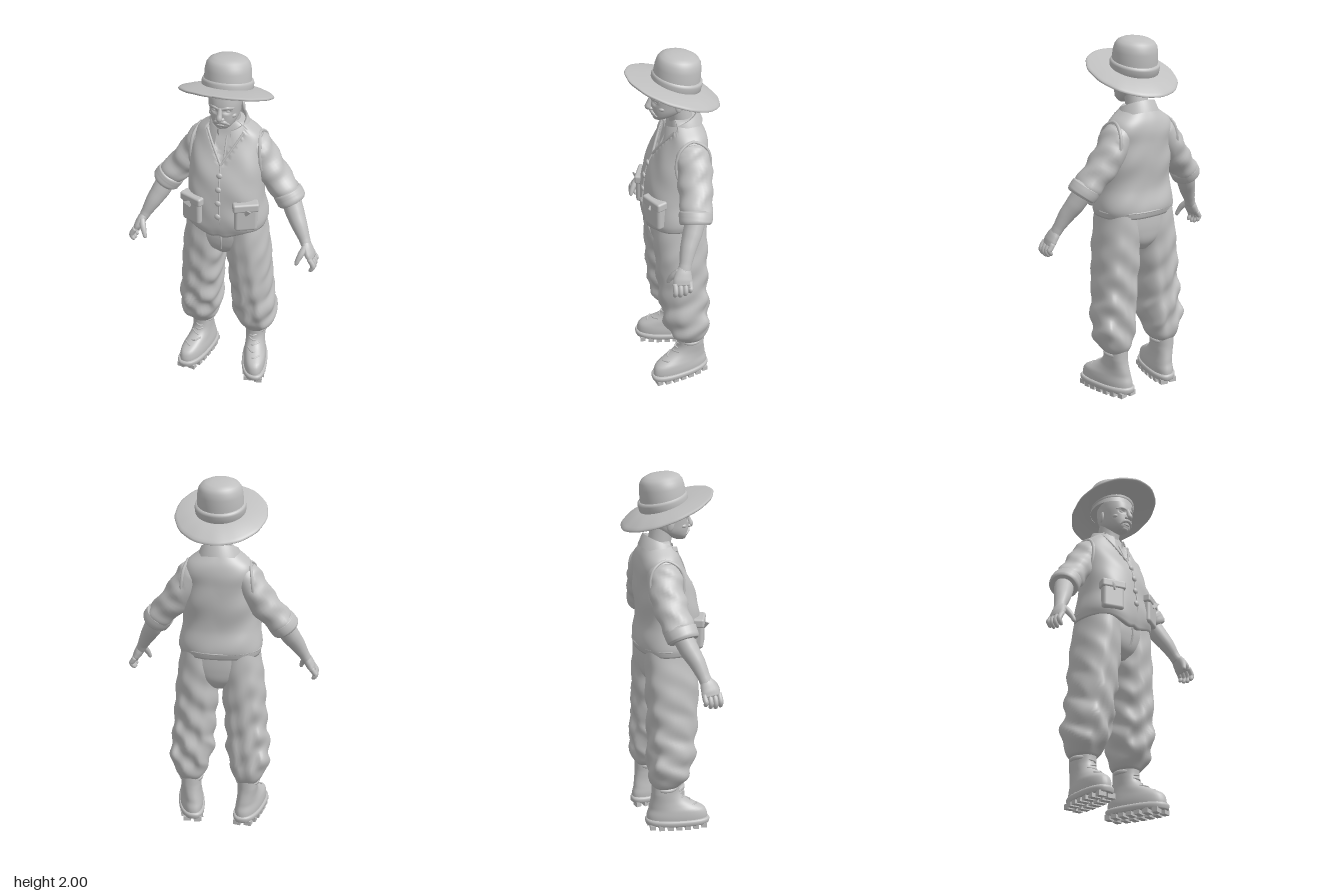
import * as THREE from 'three';
import { mergeVertices } from 'three/addons/utils/BufferGeometryUtils.js';
import { RoundedBoxGeometry } from 'three/addons/geometries/RoundedBoxGeometry.js';

const clay = new THREE.MeshStandardMaterial({ color: 0xc0c0c0, side: THREE.DoubleSide });
clay.name = 'clay grey';
const V3 = (a) => new THREE.Vector3(...a);

function part(parent, name, geometry, pos = [0, 0, 0], rot = [0, 0, 0], scale = [1, 1, 1]) {
  const g = geometry.index ? geometry : mergeVertices(geometry);
  g.applyMatrix4(new THREE.Matrix4().compose(V3(pos),
    new THREE.Quaternion().setFromEuler(new THREE.Euler(...rot)), V3(scale)));
  const mesh = new THREE.Mesh(g, clay);
  mesh.name = name;
  parent.add(mesh);
  return mesh;
}

// Skin a list of rings; the ends close on their centres unless open
function skin(rings, closed = true) {
  const n = rings[0].length, pos = [], idx = [];
  if (closed) {
    const centre = (r) => r.reduce((s, p) => s.add(p), new THREE.Vector3()).divideScalar(n);
    const a = centre(rings[0]), b = centre(rings[rings.length - 1]);
    rings = [rings[0].map(() => a), ...rings, rings[0].map(() => b)];
  }
  rings.forEach((r) => r.forEach((p) => pos.push(p.x, p.y, p.z)));
  for (let i = 0; i < rings.length - 1; i++)
    for (let j = 0; j < (closed ? n : n - 1); j++) {
      const k = (j + 1) % n, a = i * n + j, b = i * n + k, c = b + n, d = a + n;
      idx.push(a, b, d, b, c, d);
    }
  const g = new THREE.BufferGeometry();
  g.setAttribute('position', new THREE.Float32BufferAttribute(pos, 3));
  g.setIndex(idx);
  g.computeVertexNormals();
  return g;
}

// Rows [y, cx, cz, rx, rz] interpolated smoothly
function rowSampler(rows) {
  const f = new THREE.CubicInterpolant(new Float32Array(rows.map((r) => r[0])),
    new Float32Array(rows.flatMap((r) => r.slice(1))), 4);
  return (y) => Array.from(f.evaluate(y));
}

// Stack of level superellipse rings, shaped afterwards by a rule
function stack(rows, { n = 2.3, seg = 40, steps = 30, rule } = {}) {
  const at = rowSampler(rows), y0 = rows[0][0], y1 = rows[rows.length - 1][0], rings = [];
  const pw = (v) => Math.sign(v) * Math.abs(v) ** (2 / n);
  for (let i = 0; i <= steps; i++) {
    const y = y0 + (y1 - y0) * i / steps, [cx, cz, rx, rz] = at(y), ring = [];
    for (let j = 0; j < seg; j++) {
      const a = j / seg * Math.PI * 2;
      const p = new THREE.Vector3(cx + rx * pw(Math.cos(a)), y, cz - rz * pw(Math.sin(a)));
      if (rule) rule(p);
      ring.push(p);
    }
    rings.push(ring);
  }
  return skin(rings);
}

// Limb along a path; each point is [x, y, z, radius across, radius along z]
function limb(pts, { seg = 16, steps = 14, rule } = {}) {
  const curve = new THREE.CatmullRomCurve3(pts.map((p) => V3(p.slice(0, 3))));
  const rings = [], Z = new THREE.Vector3(0, 0, 1);
  for (let i = 0; i <= steps; i++) {
    const t = i / steps, f = t * (pts.length - 1), k = Math.min(Math.floor(f), pts.length - 2);
    const r = [3, 4].map((c) => THREE.MathUtils.lerp(pts[k][c] ?? pts[k][3], pts[k + 1][c] ?? pts[k + 1][3], f - k));
    const c = curve.getPoint(t), T = curve.getTangent(t);
    const U = T.clone().cross(Z).normalize(), V = T.clone().cross(U), ring = [];
    for (let j = 0; j < seg; j++) {
      const a = j / seg * Math.PI * 2;
      const p = c.clone().addScaledVector(U, r[0] * Math.cos(a)).addScaledVector(V, r[1] * Math.sin(a));
      if (rule) rule(p);
      ring.push(p);
    }
    rings.push(ring);
  }
  return skin(rings);
}

const tube = (pts, r, closed = false) =>
  new THREE.TubeGeometry(new THREE.CatmullRomCurve3(pts.map(V3), closed), 40, r, 6, closed);
const ball = () => new THREE.SphereGeometry(1, 18, 12);

// Mirrored copy with the corner order turned round
function mirrored(group, name) {
  const out = new THREE.Group();
  out.name = name;
  group.children.forEach((m) => {
    const g = m.geometry.clone().scale(-1, 1, 1), ix = g.index.array;
    for (let i = 0; i < ix.length; i += 3) [ix[i], ix[i + 1]] = [ix[i + 1], ix[i]];
    part(out, m.name, g);
  });
  return out;
}

const VEST = [[1.04, 0, -.01, .222, .166], [1.08, 0, -.008, .23, .178], [1.2, 0, 0, .21, .166],
  [1.35, 0, -.016, .204, .161], [1.45, 0, -.038, .2, .138], [1.52, 0, -.054, .193, .122],
  [1.57, 0, -.06, .17, .104], [1.61, 0, -.055, .12, .088], [1.645, 0, -.05, .075, .07]];
const vestRow = rowSampler(VEST);
const onVest = (x, y, lift = 0) => {
  const [, cz, rx, rz] = vestRow(y);
  return [x, y, cz + rz * Math.max(0, 1 - Math.abs(x / rx) ** 2.5) ** .4 + lift];
};

function addTorso(root) {
  const g = new THREE.Group();
  g.name = 'torso';
  root.add(g);
  // Vest with pointed front hem and sunken shirt opening
  part(g, 'vest', stack(VEST, { n: 2.5, seg: 88, steps: 56, rule: (p) => {
    if (p.z > 0 && p.y > 1.43 && Math.abs(p.x) < (p.y - 1.43) * .6) p.z -= .014;
    if (p.z > 0 && p.y < 1.12)
      p.y -= .04 * Math.max(0, 1 - Math.abs(Math.abs(p.x) - .035) / .12) * (1.12 - p.y) / .08;
    p.z += .004 * Math.sin(p.y * 34 + p.x * 22) * Math.min(1, Math.abs(p.x) * 8);
  } }));
  const hem = [];
  for (let i = 0; i < 24; i++) {
    const a = i / 24 * Math.PI;
    hem.push([.227 * Math.cos(a), 1.075, -.01 - .174 * Math.sin(a) ** .8]);
  }
  part(g, 'hemSeam', tube(hem, .006));
  const ys = [0, .25, .5, .75, 1];
  part(g, 'frontEdge', tube(ys.map((t) => onVest(.016 - .016 * t, 1.04 + .39 * t, .001)), .005));
  for (const s of [1, -1])
    part(g, 'necklineEdge', tube(ys.map((t) => onVest(s * .1 * t, 1.43 + .165 * t, 0)), .007));
  part(g, 'shirtPlacket', tube(ys.map((t) => onVest(.012, 1.44 + .13 * t, -.012)), .005));
  for (const y of [1.145, 1.225, 1.305, 1.38])
    part(g, 'button', ball(), onVest(.002, y, .004), [0, 0, 0], [.017, .017, .01]);
  // Folded shirt collar, open at the front
  const rows = [[.084, -.06, 0], [.088, 0, 0], [.098, .002, 0], [.124, -.058, -.035]].map(([r, dy, tip]) =>
    Array.from({ length: 41 }, (_, i) => {
      const t = i / 20 - 1, a = t * 2.75;
      return new THREE.Vector3(Math.sin(a) * r, 1.64 + .038 * Math.cos(a) + dy + tip * t ** 6, -.042 - Math.cos(a) * r * .95);
    }));
  part(g, 'collar', skin(rows, false));
}

function addHead(root) {
  const g = new THREE.Group();
  g.name = 'head';
  root.add(g);
  part(g, 'neck', limb([[0, 1.54, -.055, .07], [0, 1.63, -.045, .063], [0, 1.73, -.025, .062]]));
  part(g, 'skull', stack([[1.643, 0, .07, .026, .026], [1.658, 0, .058, .047, .048], [1.69, 0, .028, .069, .085],
    [1.735, 0, .012, .08, .104], [1.79, 0, .008, .086, .108], [1.85, 0, 0, .083, .1], [1.91, 0, -.01, .06, .07]],
  { rule: (p) => { // eye sockets
    const d = Math.hypot((Math.abs(p.x) - .034) / .024, (p.y - 1.752) / .014);
    if (p.z > .04 && d < 1) p.z -= .012 * (1 - d * d);
  }, steps: 40, seg: 56 }));
  part(g, 'nose', limb([[0, 1.772, .112, .01], [0, 1.74, .124, .013], [0, 1.718, .131, .017], [0, 1.706, .126, .011]]));
  part(g, 'lowerLip', ball(), [0, 1.672, .103], [0, 0, 0], [.024, .007, .012]);
  part(g, 'chin', ball(), [0, 1.654, .083], [0, 0, 0], [.03, .016, .022]);
  for (const s of [1, -1]) {
    part(g, 'nostril', ball(), [s * .014, 1.711, .118], [0, 0, 0], [.01, .009, .012]);
    part(g, 'eye', ball(), [s * .034, 1.752, .092], [0, 0, 0], [.015, .009, .012]);
    part(g, 'brow', limb([[s * .008, 1.768, .114, .007], [s * .035, 1.774, .107, .009], [s * .066, 1.768, .083, .005]]));
    part(g, 'moustache', limb([[0, 1.697, .116, .01], [s * .022, 1.691, .11, .011], [s * .043, 1.67, .092, .005]]));
    part(g, 'cheekbone', ball(), [s * .054, 1.722, .07], [0, s * .5, 0], [.02, .014, .02]);
    part(g, 'ear', ball(), [s * .088, 1.738, -.01], [.15, s * .35, 0], [.01, .034, .02]);
  }
}

function addHat(root) {
  const g = new THREE.Group();
  g.name = 'hat';
  root.add(g);
  const lathe = (pts) => new THREE.LatheGeometry(pts.map((p) => new THREE.Vector2(...p)), 56);
  // Brim tilts up at the front and droops towards its slightly wavy rim
  const radii = [0, .08, .12, .16, .2, .235];
  const brim = lathe([...radii.map((r) => [r, -.012]), [.247, -.01], [.25, -.003], [.246, .002],
    ...radii.slice().reverse().map((r) => [r, .003])]);
  const p = brim.attributes.position;
  for (let i = 0; i < p.count; i++) {
    const x = p.getX(i), z = p.getZ(i), r = Math.hypot(x, z), t = Math.max(0, (r - .1) / .15), a = Math.atan2(x, z);
    const k = 1 - .012 * t * (1 + Math.sin(a * 5 + 1) * Math.cos(a * 8));
    p.setXYZ(i, x * k, p.getY(i) + 1.842 + .3 * z - t * t * (.03 - .08 * z), z * k);
  }
  brim.computeVertexNormals();
  part(g, 'brim', brim);
  part(g, 'crown', lathe([[.126, -.05], [.124, .03], [.121, .08], [.114, .112], [.1, .132], [.075, .145], [.04, .151], [0, .152]]),
    [0, 1.85, -.02], [-.13, 0, 0]);
  part(g, 'band', lathe([[.122, -.03], [.134, -.028], [.136, .015], [.132, .028], [.12, .03]]), [0, 1.848, -.022], [-.24, 0, 0]);
}

function leftArm() {
  const g = new THREE.Group();
  g.name = 'leftArm';
  part(g, 'sleeve', limb([[.13, 1.515, -.062, .066, .085], [.15, 1.49, -.064, .076, .094], [.19, 1.42, -.068, .081, .096],
    [.25, 1.33, -.06, .08, .092], [.32, 1.25, -.045, .074, .085], [.35, 1.21, -.035, .068, .078]],
  { seg: 28, steps: 32, rule: (p) => {
    if (p.x > .19) { p.x += .005 * Math.sin(p.y * 60 + p.z * 40); p.z += .005 * Math.sin(p.y * 48 - p.x * 30); }
  } }));
  part(g, 'rolledCuff', limb([[.325, 1.248, -.042, .07, .078], [.331, 1.238, -.04, .08, .09], [.345, 1.218, -.036, .081, .09],
    [.359, 1.198, -.03, .08, .087], [.366, 1.187, -.028, .07, .078]], { seg: 28, steps: 16 }));
  part(g, 'armholeTrim', tube([[.168, 1.568, -.065], [.184, 1.53, .005], [.193, 1.45, .03], [.2, 1.36, .01],
    [.206, 1.325, -.06], [.2, 1.37, -.13], [.192, 1.45, -.155], [.182, 1.53, -.135]], .009, true));
  part(g, 'forearm', limb([[.35, 1.21, -.035, .054], [.385, 1.14, -.005, .052], [.42, 1.08, .025, .044],
    [.455, 1.015, .048, .031, .034], [.472, .98, .06, .027, .034]], { steps: 20 }));
  part(g, 'palm', limb([[.462, 1.0, .055, .026, .03], [.478, .972, .065, .027, .044], [.495, .94, .073, .025, .052],
    [.508, .915, .076, .018, .05]]));
  for (let i = 0; i < 4; i++) {
    const z = .036 + i * .027, d = [.018, .004, 0, .006][i];
    part(g, 'finger', limb([[.503, .93, z, .014], [.522, .9, z + .002, .0145], [.527, .878 + d, z + .003, .0135],
      [.516, .858 + d, z + .004, .012], [.508, .85 + d, z + .004, .006]], { seg: 10 }));
  }
  part(g, 'thumb', limb([[.472, .985, .085, .017], [.458, .955, .112, .018], [.445, .925, .13, .014],
    [.437, .9, .138, .011], [.435, .893, .139, .005]], { seg: 10 }));
  return g;
}

function leftPocket() {
  const g = new THREE.Group();
  g.name = 'leftPocket';
  const turn = [0, .42, 0];
  part(g, 'pocketBag', new RoundedBoxGeometry(.126, .15, .055, 3, .018), [.147, 1.145, .134], turn);
  part(g, 'pocketFlap', new RoundedBoxGeometry(.142, .05, .064, 3, .012), [.147, 1.216, .135], turn);
  part(g, 'flapPoint', new THREE.CylinderGeometry(.04, .04, .008, 3), [.16, 1.196, .163], [Math.PI / 2, 0, .42], [1, 1, .6]);
  return g;
}

function leftLeg() {
  const g = new THREE.Group();
  g.name = 'leftLeg';
  // Baggy trouser leg gathered at the ankle
  part(g, 'trouserLeg', stack([[.262, .165, -.062, .066, .076], [.285, .166, -.06, .084, .092], [.33, .17, -.048, .104, .114],
    [.42, .163, -.038, .122, .127], [.55, .152, -.027, .118, .134], [.7, .14, -.02, .119, .141],
    [.85, .128, -.017, .12, .147], [.95, .12, -.014, .114, .149], [1.08, .108, -.012, .104, .145]],
  { seg: 44, steps: 60, rule: (p) => {
    const k = .011 * THREE.MathUtils.clamp((1.1 - p.y) * 1.6, 0, 1) * THREE.MathUtils.clamp((p.y - .25) * 8, .2, 1);
    p.x += k * Math.sin(p.y * 42 + p.z * 26) * .8;
    p.z += k * Math.sin(p.y * 33 - p.x * 38 + 1) + k * .6 * Math.sin(p.x * 75 + p.y * 9);
  } }));
  // Boot, splayed outward towards the toe
  const splay = (p) => { p.x += .2 * (p.z + .06) * THREE.MathUtils.clamp((.22 - p.y) * 10, 0, 1); };
  part(g, 'boot', stack([[.03, .165, 0, .066, .168], [.08, .165, 0, .069, .168], [.115, .165, -.004, .065, .154],
    [.14, .165, -.025, .06, .13], [.17, .165, -.05, .056, .1], [.2, .165, -.062, .056, .084], [.29, .165, -.065, .059, .08]],
  { rule: splay }));
  part(g, 'sole', stack([[.022, .165, .002, .072, .174], [.03, .165, .002, .076, .177], [.052, .165, .002, .076, .177],
    [.058, .165, .002, .07, .17]], { n: 2.5, steps: 8, rule: splay }));
  for (let i = 0; i < 7; i++) {
    const z = -.145 + i * .048, w = .074 * (1 - Math.abs((z - .002) / .19) ** 2.5) ** .4;
    for (const s of [1, -1])
      part(g, 'tread', new THREE.BoxGeometry(w * .8, .028, .032), [.165 + .2 * (z + .06) + s * w * .56, .014, z], [0, .2, 0]);
  }
  part(g, 'bootTop', new THREE.TorusGeometry(.061, .009, 8, 32), [.165, .25, -.064], [Math.PI / 2, 0, 0], [1, 1, 1.35]);
  [[.135, .108], [.155, .076], [.178, .038], [.205, .024], [.23, .018]].forEach(([y, z], i) => {
    const cx = .165 + .2 * (z + .06) * Math.min(1, (.22 - y) * 10 > 0 ? (.22 - y) * 10 : 0), d = i % 2 ? .008 : -.008;
    part(g, 'lace', tube([[cx - .036, y + d, z - .026], [cx, y, z + .002], [cx + .036, y - d, z - .026]], .005));
  });
  return g;
}

export function createModel() {
  const root = new THREE.Group();
  root.name = 'standingMan';
  addTorso(root);
  addHead(root);
  addHat(root);
  part(root, 'trouserSeat', stack([[.84, 0, -.02, .05, .09], [.89, 0, -.017, .14, .13], [.96, 0, -.014, .205, .147],
    [1.08, 0, -.012, .208, .148]]));
  part(root, 'flySeam', tube([[.004, 1.04, .137], [.01, .97, .138], [.004, .9, .118]], .006));
  for (const [make, name] of [[leftArm, 'rightArm'], [leftPocket, 'rightPocket'], [leftLeg, 'rightLeg']]) {
    const left = make();
    root.add(left, mirrored(left, name));
  }
  return root;
}
